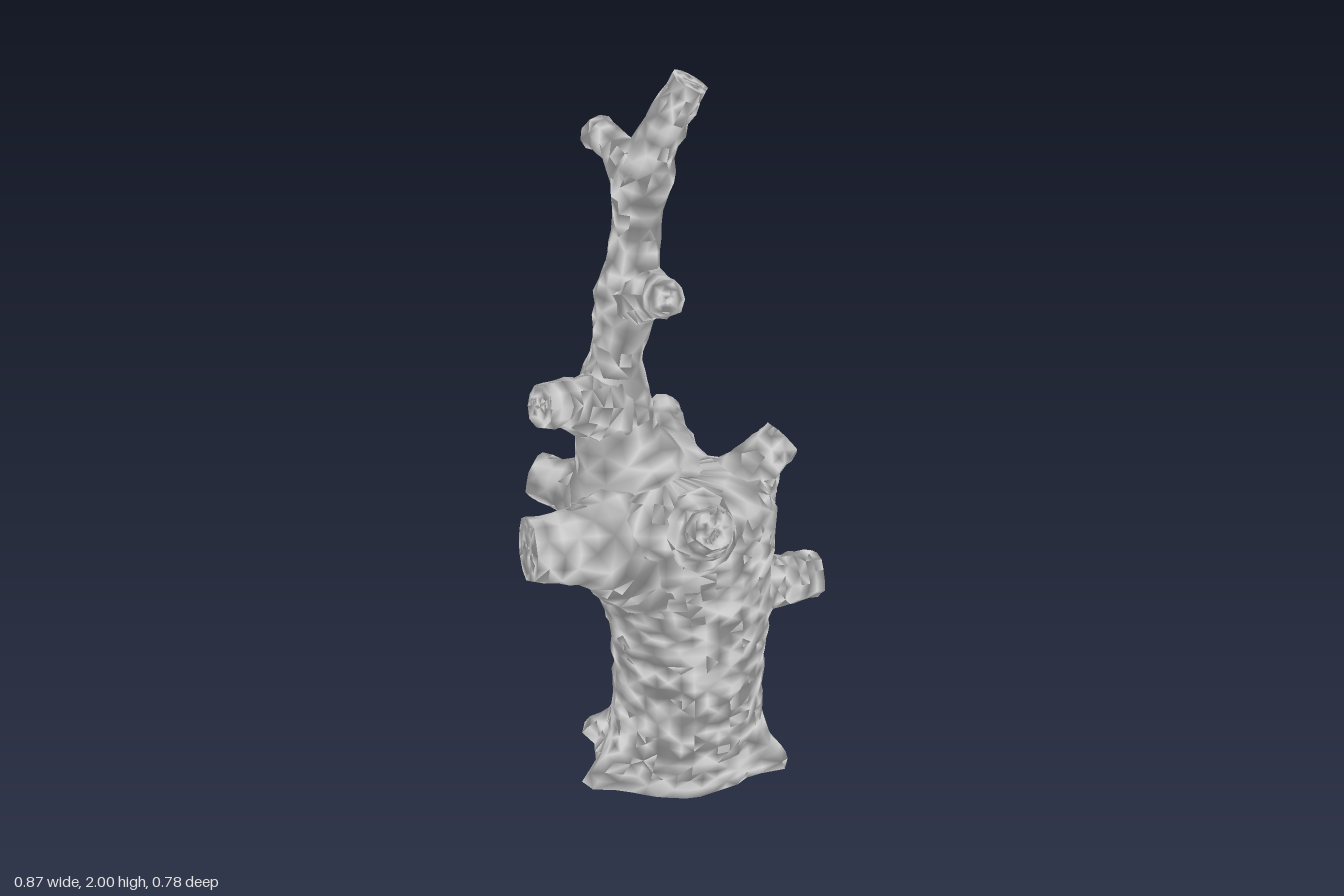
import * as THREE from 'three';

const bark = new THREE.MeshStandardMaterial({ color: 0xcccccc });

// Seeded random number, -1 to 1
let seed = 7;
function rand() {
  seed = (seed * 16807) % 2147483647;
  return seed / 1073741823.5 - 1;
}

// Sample an axis curve and its width curve into even steps
function sample(points, steps) {
  const axis = new THREE.CatmullRomCurve3(points.map(p => new THREE.Vector3(p[0], p[1], p[2])));
  const widths = new THREE.CatmullRomCurve3(points.map(p => new THREE.Vector3(p[3], p[1], p[4] ?? p[3])));
  const frames = axis.computeFrenetFrames(steps);
  return Array.from({ length: steps + 1 }, (_, i) => {
    const t = axis.getUtoTmapping(i / steps);
    return { centre: axis.getPoint(t), width: widths.getPoint(t), u: frames.normals[i], v: frames.binormals[i] };
  });
}

// Rings of a round tapered limb through points [x, y, z, radius]
function limb(name, points, steps, sides) {
  const samples = sample(points, steps);
  const rings = samples.map(s => Array.from({ length: sides }, (_, j) => {
    const a = j / sides * Math.PI * 2;
    const dir = s.u.clone().multiplyScalar(Math.cos(a)).addScaledVector(s.v, Math.sin(a));
    return { p: s.centre.clone().addScaledVector(dir, s.width.x), dir };
  }));
  return { name, rings, balls: samples.map(s => ({ c: s.centre, r: s.width.x })) };
}

// Rings of the trunk: level ellipses, with roots swelling out at the foot
function trunk() {
  // centre x, y, centre z, radius x, radius z
  const profile = [
    [0.01, 0.005, -0.02, 0.245, 0.215], [0.025, 0.1, -0.005, 0.22, 0.205], [0.03, 0.22, 0, 0.213, 0.202],
    [0.03, 0.4, 0.005, 0.215, 0.193], [0.02, 0.6, 0.01, 0.23, 0.188], [0, 0.72, 0.01, 0.245, 0.195],
    [-0.005, 0.85, 0.01, 0.245, 0.195], [-0.01, 0.915, 0, 0.2, 0.165], [-0.03, 0.94, -0.01, 0.1, 0.09],
    [-0.04, 0.945, -0.02, 0.02, 0.02]
  ];
  // root direction x, z and extra reach
  const roots = [[0.29, 0.13, 0.09], [0.27, -0.22, 0.11], [-0.27, 0.12, 0.08], [-0.24, -0.17, 0.08], [0.02, -0.28, 0.05]];
  const samples = sample(profile, 34), sides = 38;
  const rings = samples.map(({ centre, width }) => Array.from({ length: sides }, (_, j) => {
    const a = j / sides * Math.PI * 2;
    const dir = new THREE.Vector3(Math.cos(a), 0, -Math.sin(a));
    const p = new THREE.Vector3(centre.x + width.x * dir.x, centre.y, centre.z + width.z * dir.z);
    for (const [x, z, reach] of roots) {
      const turn = a - Math.atan2(-z, x);
      const d = Math.atan2(Math.sin(turn), Math.cos(turn));
      p.addScaledVector(dir, reach * Math.exp(-d * d / 0.05 - (centre.y / 0.1) ** 2));
    }
    return { p, dir };
  }));
  const balls = samples.filter(s => s.centre.y < 0.73).map(s => ({ c: s.centre, r: s.width.z }));
  return { name: 'trunk', rings, balls };
}

// Swell a part outwards where it meets its neighbours, so joints flow together
function swell(part, parts) {
  for (const ring of part.rings) for (const point of ring) {
    point.push = 0;
    for (const other of parts) {
      if (other === part) continue;
      for (const ball of other.balls) {
        const reach = Math.min(0.12, ball.r);
        const d = Math.abs(ball.c.distanceTo(point.p) - ball.r);
        if (other.balls.every(b => b.c.distanceTo(point.p) - b.r > -reach)) {
          point.push = Math.max(point.push, Math.max(0, 1 - d / reach) ** 2 * reach / 5);
        }
      }
    }
  }
}

// Rough bark skin over the rings, with flat sharp-rimmed ends
function skin({ name, rings }) {
  const n = rings[0].length, pos = [], index = [];
  const points = rings.map(ring => ring.map(({ p, dir, push }) => p.clone().addScaledVector(dir, push + 0.006 * rand())));

  // Join a list of rings, alternating the diagonal for an irregular grain
  function wrap(list) {
    const start = pos.length / 3;
    list.forEach(ring => ring.forEach(p => pos.push(p.x, p.y, p.z)));
    for (let i = 0; i < list.length - 1; i++) {
      for (let j = 0; j < n; j++) {
        const a = start + i * n + j, b = start + i * n + (j + 1) % n;
        if ((i + j) % 2) index.push(a, b, a + n, b, b + n, a + n);
        else index.push(a, b, b + n, a, b + n, a + n);
      }
    }
  }
  // Shrink an end ring to its middle
  function cap(ring) {
    const mid = new THREE.Vector3();
    ring.forEach(p => mid.addScaledVector(p, 1 / n));
    return [1, 0.75, 0.5, 0.25, 0].map(s => ring.map(p => mid.clone().lerp(p, s)));
  }
  wrap(points);
  wrap(cap(points[0]).reverse());
  wrap(cap(points[points.length - 1]));

  const geometry = new THREE.BufferGeometry();
  geometry.setAttribute('position', new THREE.Float32BufferAttribute(pos, 3));
  geometry.setIndex(index);
  geometry.computeVertexNormals();
  // Tilt the normals for a mottled, craggy surface
  const normals = geometry.attributes.normal, v = new THREE.Vector3();
  for (let i = 0; i < normals.count; i++) {
    v.fromBufferAttribute(normals, i);
    v.set(v.x + 2 * rand(), v.y + 2 * rand(), v.z + 2 * rand()).normalize();
    normals.setXYZ(i, v.x, v.y, v.z);
  }
  const mesh = new THREE.Mesh(geometry, bark);
  mesh.name = name;
  return mesh;
}

export function createModel() {
  seed = 7;
  // Tall surviving branch
  const tallBranch = [
    [-0.1, 0.82, -0.08, 0.17], [-0.125, 0.93, -0.1, 0.145], [-0.145, 1.03, -0.11, 0.108], [-0.15, 1.2, -0.125, 0.076],
    [-0.118, 1.36, -0.137, 0.072], [-0.08, 1.58, -0.162, 0.065], [-0.065, 1.7, -0.165, 0.066], [-0.015, 1.84, -0.15, 0.055],
    [0.055, 1.98, -0.125, 0.048]
  ];

  // Broken knobs on the tall branch
  const knobs = {
    lowerKnob: [[-0.15, 1.12, -0.1, 0.085], [-0.23, 1.14, -0.07, 0.077], [-0.29, 1.165, -0.04, 0.064], [-0.36, 1.18, 0, 0.057]],
    middleKnob: [[-0.1, 1.41, -0.14, 0.075], [-0.07, 1.43, -0.1, 0.067], [-0.045, 1.445, -0.06, 0.058], [-0.025, 1.455, -0.01, 0.052]],
    upperKnob: [[-0.06, 1.72, -0.16, 0.06], [-0.1, 1.76, -0.215, 0.052], [-0.125, 1.78, -0.275, 0.045], [-0.15, 1.79, -0.342, 0.048]]
  };

  // Broken stubs flaring out of the trunk
  const stubs = {
    bigRightStub: [[-0.05, 0.7, 0.04, 0.16], [-0.18, 0.79, 0.085, 0.14], [-0.29, 0.835, 0.13, 0.103], [-0.42, 0.85, 0.155, 0.085]],
    frontStub: [[0.03, 0.76, 0.04, 0.15], [0.03, 0.85, 0.15, 0.105], [0.03, 0.92, 0.26, 0.067], [0.03, 0.99, 0.36, 0.05]],
    upperLeftStub: [[0.1, 0.75, -0.02, 0.14], [0.19, 0.85, -0.06, 0.1], [0.25, 0.915, -0.09, 0.07], [0.315, 0.965, -0.115, 0.057]],
    lowerLeftStub: [[0.12, 0.53, -0.05, 0.12], [0.24, 0.53, -0.07, 0.085], [0.32, 0.525, -0.085, 0.072], [0.42, 0.52, -0.105, 0.068]],
    backStub: [[0, 0.81, -0.06, 0.14], [0.01, 0.88, -0.18, 0.095], [0.015, 0.925, -0.28, 0.065], [0.02, 0.94, -0.385, 0.053]],
    backRightStub: [[-0.05, 0.73, -0.05, 0.14], [-0.16, 0.78, -0.15, 0.105], [-0.25, 0.805, -0.215, 0.077], [-0.35, 0.815, -0.285, 0.065]]
  };

  const parts = [trunk(), limb('tallBranch', tallBranch, 36, 14)];
  for (const [name, points] of Object.entries(knobs)) parts.push(limb(name, points, 8, 10));
  for (const [name, points] of Object.entries(stubs)) parts.push(limb(name, points, 12, 14));

  const tree = new THREE.Group();
  tree.name = 'deadTree';
  for (const part of parts) {
    swell(part, parts);
    tree.add(skin(part));
  }
  return tree;
}
